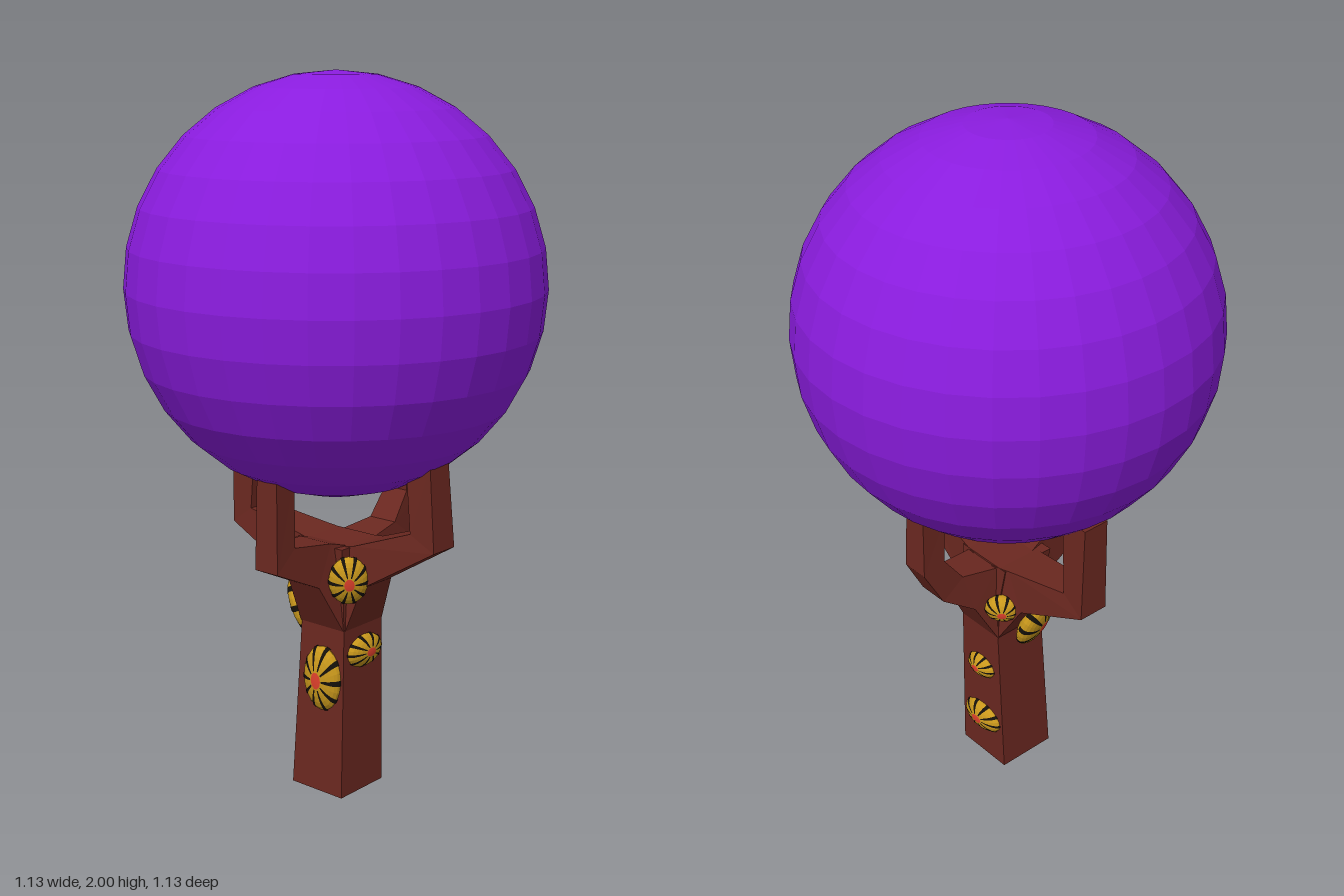
import * as THREE from 'three';

const paint = (color) => new THREE.MeshStandardMaterial({ color, flatShading: true });

// Skin a row of four-cornered sections (counter-clockwise seen from the far end), capped
function loft(sections) {
  const pos = [];
  const quad = (a, b, c, d) => pos.push(...a, ...b, ...c, ...a, ...c, ...d);
  for (let i = 0; i < sections.length - 1; i++) {
    const a = sections[i], b = sections[i + 1];
    for (let k = 0; k < 4; k++) {
      const n = (k + 1) % 4;
      quad(a[k], a[n], b[n], b[k]);
    }
  }
  const [p, q, r, s] = sections[0];
  quad(s, r, q, p);
  quad(...sections[sections.length - 1]);
  const g = new THREE.BufferGeometry();
  g.setAttribute('position', new THREE.Float32BufferAttribute(pos, 3));
  g.computeVertexNormals();
  return g;
}

// Horizontal rectangle section of the trunk
const slab = (y, x0, x1, z0, z1) => [[x0, y, z1], [x1, y, z1], [x1, y, z0], [x0, y, z0]];

// Each row: outer [u, y], inner [u, y], half width; u runs outward along (dx, dz)
function armGeometry(dx, dz, shift, rows) {
  const at = (u, y, w) => [dx * u + dz * w, y, dz * u - dx * w];
  return loft(rows.map(([u0, y0, u1, y1, h]) => [
    at(u0, y0, shift - h), at(u0, y0, shift + h), at(u1, y1, shift + h), at(u1, y1, shift - h),
  ]));
}

export function createModel() {
  const model = new THREE.Group();
  const bark = paint(0x6b2820), purple = paint(0x8a1cde);
  const yellow = paint(0xc9981c), black = paint(0x14100a), red = paint(0xe0402c);
  const add = (parent, name, geo, mat) => {
    const m = new THREE.Mesh(geo, mat);
    m.name = name;
    parent.add(m);
    return m;
  };

  // Round crown
  add(model, 'crown', new THREE.SphereGeometry(0.567, 32, 16), purple).position.y = 1.434;

  // Trunk and the fork block it widens into
  add(model, 'trunk', loft([
    slab(0.005, -0.085, 0.097, -0.09, 0.09),
    slab(0.49, -0.07, 0.085, -0.1, 0.065),
    slab(0.62, -0.075, 0.085, -0.1, 0.07),
    slab(0.73, -0.09, 0.09, -0.09, 0.08),
  ]), bark);

  // Four bent arms holding the crown
  const arms = [
    ['leftArm', 1, 0, 0.02, [
      [0.085, 0.49, 0, 0.72, 0.08], [0.13, 0.62, 0.1, 0.735, 0.065],
      [0.36, 0.76, 0.28, 0.8, 0.045], [0.34, 1.0, 0.26, 0.99, 0.04]]],
    ['rightArm', -1, 0, -0.02, [
      [0.07, 0.49, 0, 0.72, 0.08], [0.15, 0.62, 0.1, 0.735, 0.065],
      [0.37, 0.715, 0.3, 0.765, 0.045], [0.37, 1.0, 0.285, 1.0, 0.04]]],
    ['frontArm', 0, 1, 0.005, [
      [0.065, 0.49, 0, 0.72, 0.078], [0.14, 0.63, 0.09, 0.745, 0.055],
      [0.29, 0.7, 0.22, 0.76, 0.04], [0.285, 0.96, 0.215, 0.96, 0.035]]],
    ['backArm', 0, -1, -0.005, [
      [0.1, 0.49, 0, 0.72, 0.078], [0.17, 0.62, 0.09, 0.725, 0.06],
      [0.27, 0.69, 0.2, 0.74, 0.045], [0.33, 0.8, 0.26, 0.82, 0.04],
      [0.325, 0.97, 0.25, 0.96, 0.035]]],
  ];
  for (const [name, dx, dz, shift, rows] of arms) add(model, name, armGeometry(dx, dz, shift, rows), bark);

  // Striped growths on the bark: a domed body, radial stripes and a red middle
  const body = new THREE.SphereGeometry(1, 20, 12);
  const middle = new THREE.SphereGeometry(1.03, 10, 3, 0, Math.PI * 2, 0, 0.26);
  const STRIPES = 10;
  const stripe = (k) => new THREE.SphereGeometry(
    1.02, 2, 8, (k / STRIPES) * Math.PI * 2 - 0.09, 0.18, 0.3, 1.7);
  for (const g of [body, middle]) g.rotateX(Math.PI / 2);
  const stripes = Array.from({ length: STRIPES }, (_, k) => stripe(k).rotateX(Math.PI / 2));

  // Position, facing direction, half width, half height
  const growths = [
    [[0.015, 0.34, 0.073], [0, 0, 1], 0.065, 0.095],
    [[0.105, 0.645, 0.07], [1, -0.2, 1], 0.055, 0.07],
    [[0.082, 0.415, -0.02], [1, 0, 0], 0.073, 0.047],
    [[-0.105, 0.52, 0.01], [-1, -0.4, 0.25], 0.065, 0.095],
    [[0.005, 0.345, -0.092], [0, 0, -1], 0.055, 0.037],
    [[0.005, 0.15, -0.09], [0, 0, -1], 0.075, 0.047],
    [[-0.09, 0.61, -0.1], [-1, -0.2, -1], 0.05, 0.042],
  ];
  for (const [p, dir, w, h] of growths) {
    const growth = new THREE.Group();
    growth.name = 'stripedGrowth';
    add(growth, 'growthBody', body, yellow);
    stripes.forEach((g) => add(growth, 'growthStripe', g, black));
    add(growth, 'growthMiddle', middle, red);
    growth.position.set(...p);
    growth.lookAt(p[0] + dir[0], p[1] + dir[1], p[2] + dir[2]);
    growth.scale.set(w, h, 0.033);
    model.add(growth);
  }
  return model;
}
